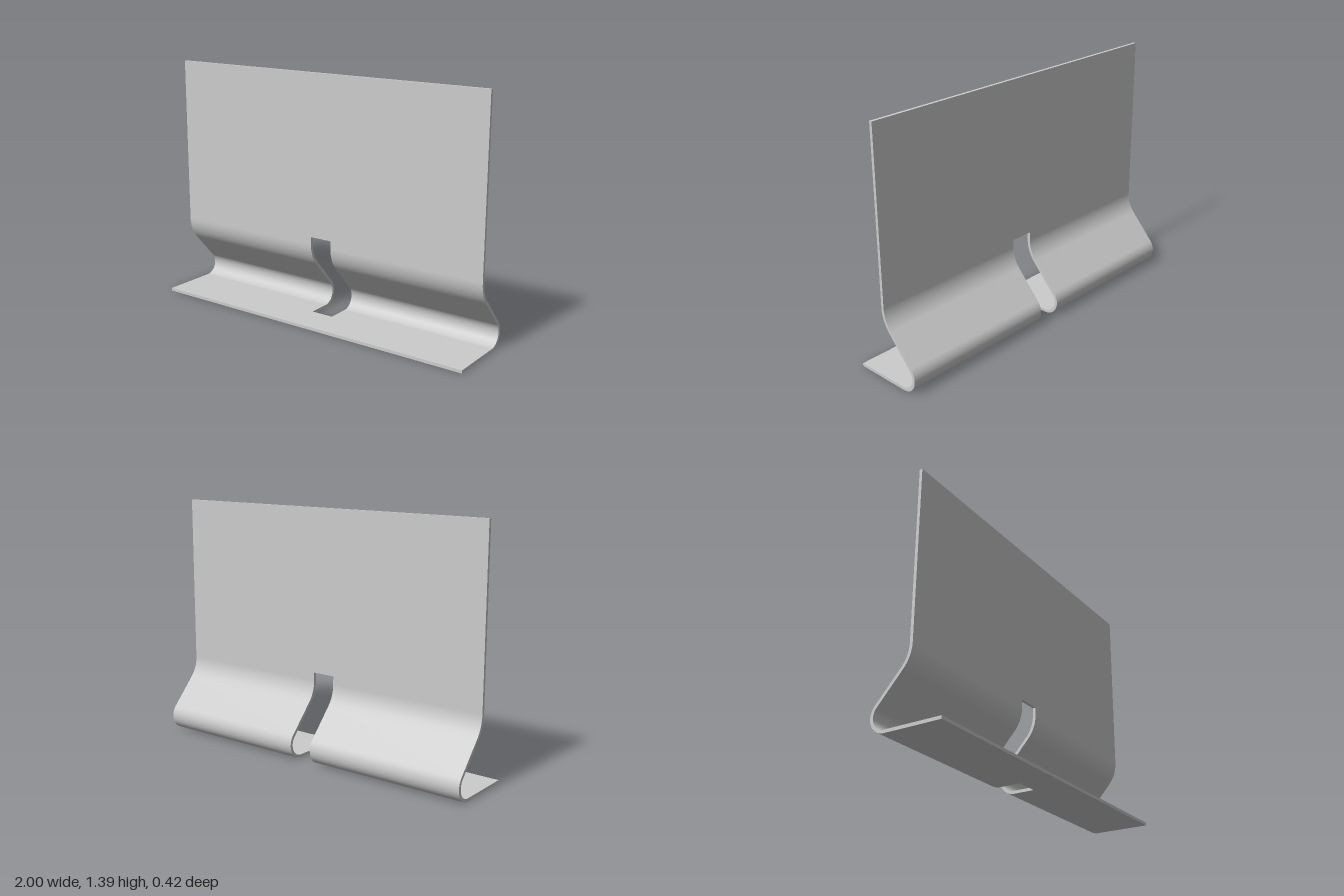
import * as THREE from 'three';

const HALF = 0.0085; // half of the sheet thickness

// Centre line of the sheet as {z, y, angle}; angle 0 points down, 90 degrees points to the front
function bentPath() {
  const path = [];
  const add = (z, y, angle) => path.push({ z, y, nz: Math.cos(angle), ny: Math.sin(angle) });
  // arc of the centre line; side is +1 when the centre lies on the front face's side
  const arc = (cz, cy, r, a0, a1, steps, side) => {
    for (let i = 0; i <= steps; i++) {
      const a = a0 + (a1 - a0) * i / steps;
      add(cz - side * r * Math.cos(a), cy - side * r * Math.sin(a), a);
    }
  };
  const tilt = -THREE.MathUtils.degToRad(42.5);
  add(0.0125, 1.387, 0);
  add(0.0125, 0.465, 0); // top of the slot
  arc(0.0125 - 0.18, 0.419, 0.18, 0, tilt, 12, -1); // upper bend
  arc(-0.1174, HALF + 0.079, 0.079, tilt, Math.PI / 2, 24, 1); // rolled heel
  add(0.008, HALF, Math.PI / 2); // front of the slot
  add(0.205, HALF, Math.PI / 2);
  return path;
}

function sheetGeometry() {
  const path = bentPath(), xs = [-1, -0.07, 0.065, 1];
  const rows = path.length - 1, cols = xs.length - 1;
  const solid = (i, j) => i >= 0 && i < rows && j >= 0 && j < cols &&
    !(j === 1 && i >= 1 && i < rows - 1);
  const pos = [], nor = [];
  const point = (i, j, side) => {
    const p = path[i];
    return new THREE.Vector3(xs[j], p.y + p.ny * HALF * side, p.z + p.nz * HALF * side);
  };
  const quad = (pts, normals) => [0, 1, 2, 0, 2, 3].forEach(k => {
    pos.push(...pts[k].toArray());
    nor.push(...normals[k].toArray());
  });
  const face = (corners, side) => quad(
    corners.map(([i, j]) => point(i, j, side)),
    corners.map(([i]) => new THREE.Vector3(0, path[i].ny * side, path[i].nz * side)));
  // cut edge running from corner a to corner b of a cell
  const edge = (a, b) => {
    const pts = [point(...a, 1), point(...a, -1), point(...b, -1), point(...b, 1)];
    const n = pts[1].clone().sub(pts[0]).cross(pts[2].clone().sub(pts[0])).normalize();
    quad(pts, [n, n, n, n]);
  };
  for (let i = 0; i < rows; i++) for (let j = 0; j < cols; j++) {
    if (!solid(i, j)) continue;
    const c = [[i, j], [i + 1, j], [i + 1, j + 1], [i, j + 1]];
    face(c, 1);
    face([...c].reverse(), -1);
    if (!solid(i, j - 1)) edge(c[0], c[1]);
    if (!solid(i + 1, j)) edge(c[1], c[2]);
    if (!solid(i, j + 1)) edge(c[2], c[3]);
    if (!solid(i - 1, j)) edge(c[3], c[0]);
  }
  const g = new THREE.BufferGeometry();
  g.setAttribute('position', new THREE.Float32BufferAttribute(pos, 3));
  g.setAttribute('normal', new THREE.Float32BufferAttribute(nor, 3));
  return g;
}

export function createModel() {
  const group = new THREE.Group();
  group.name = 'bentSheetStand';
  const sheet = new THREE.Mesh(sheetGeometry(), new THREE.MeshStandardMaterial({ color: 0xcccccc }));
  sheet.name = 'slottedBentSheet';
  sheet.rotation.y = 0.006; // the sheet sits very slightly turned
  group.add(sheet);
  return group;
}
